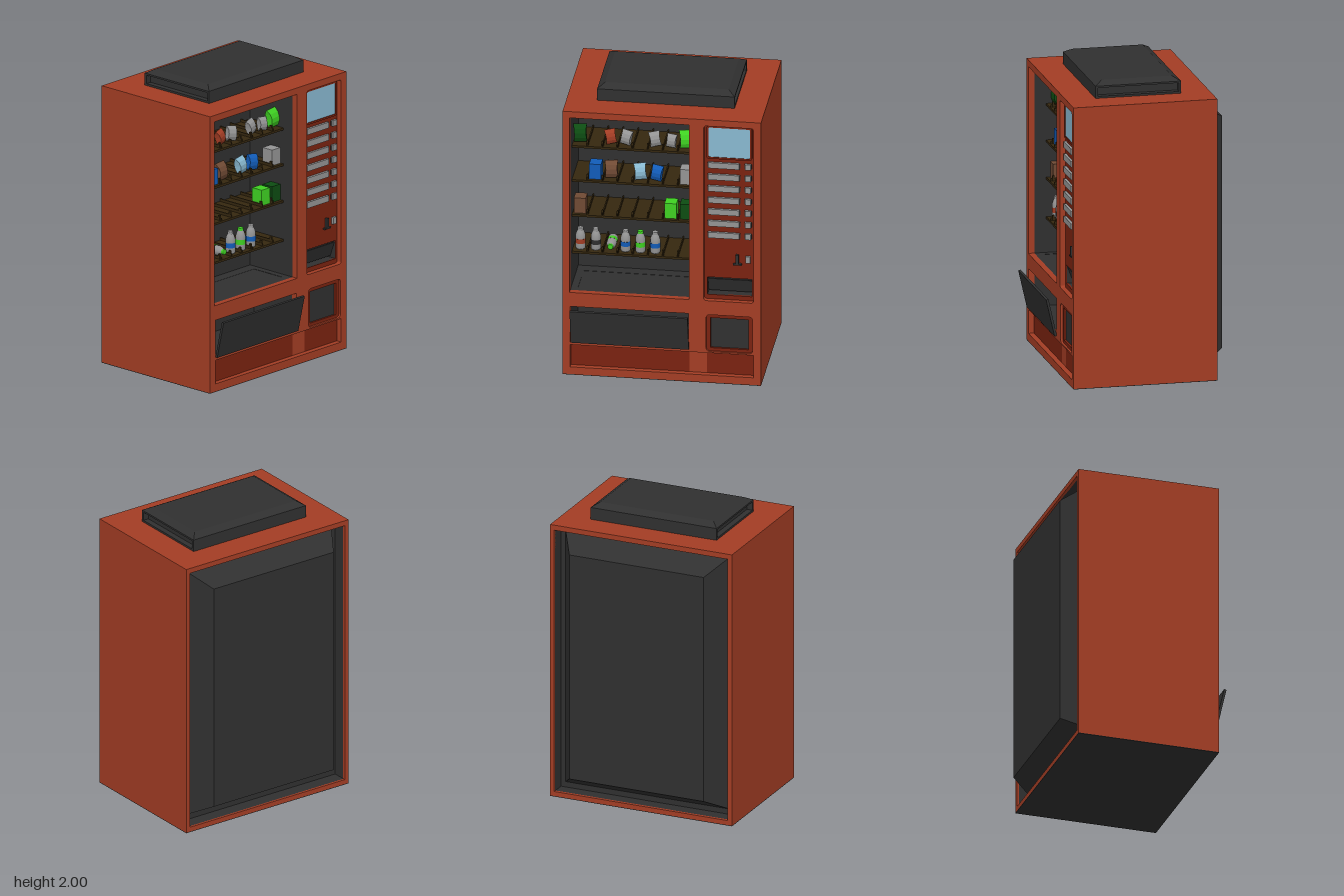
import * as THREE from 'three';

const mat = (name, color) => Object.assign(new THREE.MeshStandardMaterial({ color }), { name });
const M = {
  red: mat('cabinet red', 0xa33d24),
  darkRed: mat('panel dark red', 0x7a2210),
  dark: mat('charcoal', 0x303030),
  grey: mat('light grey', 0x949494),
  sky: mat('light blue', 0x88b8d0),
  brown: mat('brown', 0x704a34),
  shelf: mat('shelf dark brown', 0x35270f),
  green: mat('bright green', 0x3fd122),
  darkGreen: mat('dark green', 0x0d4c12),
  blue: mat('blue', 0x125cb8),
};

// The machine is built facing +z (x across, y up), then turned to face +x.
export function createModel() {
  const model = new THREE.Group();
  model.name = 'vendingMachine';
  const machine = new THREE.Group();
  machine.name = 'machine';
  machine.rotation.y = Math.PI / 2;
  model.add(machine);

  const add = (name, geo, material, parent = machine) => {
    const mesh = new THREE.Mesh(geo, material);
    mesh.name = name;
    parent.add(mesh);
    return mesh;
  };
  // Box given by its limits on each axis
  const box = (name, m, x0, x1, y0, y1, z0, z1, parent) => {
    const b = add(name, new THREE.BoxGeometry(x1 - x0, y1 - y0, z1 - z0), m, parent);
    b.position.set((x0 + x1) / 2, (y0 + y1) / 2, (z0 + z1) / 2);
    return b;
  };
  const roundRect = (x0, x1, y0, y1, r = 0, Type = THREE.Shape) => {
    const s = new Type();
    if (!r) {
      s.setFromPoints([[x0, y0], [x1, y0], [x1, y1], [x0, y1]].map((p) => new THREE.Vector2(...p)));
      return s;
    }
    s.absarc(x1 - r, y0 + r, r, -Math.PI / 2, 0);
    s.absarc(x1 - r, y1 - r, r, 0, Math.PI / 2);
    s.absarc(x0 + r, y1 - r, r, Math.PI / 2, Math.PI);
    s.absarc(x0 + r, y0 + r, r, Math.PI, Math.PI * 1.5);
    s.closePath();
    return s;
  };
  // Flat plate with holes, spanning z0..z1
  const plate = (name, m, outline, holes, z0, z1) => {
    const s = roundRect(...outline);
    s.holes = holes.map(([a, b, c, d, r = 0]) => roundRect(a, b, c, d, r, THREE.Path));
    const g = new THREE.ExtrudeGeometry(s, { depth: z1 - z0, bevelEnabled: false, curveSegments: 4 });
    return add(name, g.translate(0, 0, z0), m);
  };
  // Open cavity: walls and back; sign of zOpen - zBack sets the direction
  const niche = (name, m, x0, x1, y0, y1, zBack, zOpen, floor = true) => {
    const t = 0.008, a = Math.min(zBack, zOpen), b = Math.max(zBack, zOpen);
    box(name + 'Back', m, x0, x1, y0, y1, zBack - t / 2, zBack + t / 2);
    box(name + 'SideA', m, x0 - t, x0, y0, y1, a, b);
    box(name + 'SideB', m, x1, x1 + t, y0, y1, a, b);
    box(name + 'Ceiling', m, x0 - t, x1 + t, y1, y1 + t, a, b);
    if (floor) box(name + 'Floor', m, x0 - t, x1 + t, y0 - t, y0, a, b);
  };
  // Move vertices by a rule, with crisp facets
  const reshape = (geo, rule) => {
    const g = geo.toNonIndexed(), p = g.attributes.position, v = new THREE.Vector3();
    for (let i = 0; i < p.count; i++) {
      rule(v.fromBufferAttribute(p, i));
      p.setXYZ(i, v.x, v.y, v.z);
    }
    g.computeVertexNormals();
    return g;
  };

  // Cabinet shell
  box('underside', M.dark, -0.65, 0.65, 0, 0.004, -0.48, 0.48);
  for (const s of [-1, 1]) box('sidePanel', M.red, s < 0 ? -0.65 : 0.63, s < 0 ? -0.63 : 0.65, 0.004, 1.89, -0.46, 0.44);
  box('roof', M.red, -0.63, 0.63, 1.87, 1.89, -0.46, 0.44);
  plate('frontFrame', M.red, [-0.65, 0.65, 0.004, 1.89], [
    [-0.605, 0.18, 0.59, 1.845],
    [0.275, 0.6, 0.59, 1.845, 0.015],
    [-0.6, 0.175, 0.235, 0.49],
    [0.29, 0.595, 0.225, 0.49, 0.025],
    [-0.6, 0.6, 0.055, 0.215],
  ], 0.44, 0.48);
  plate('backFrame', M.red, [-0.65, 0.65, 0.004, 1.89], [[-0.62, 0.62, 0.035, 1.855]], -0.48, -0.46);

  // Rear recess and tapered cover
  niche('rearRecess', M.dark, -0.62, 0.62, 0.035, 1.855, -0.37, -0.465);
  add('rearCover', reshape(new THREE.BoxGeometry(1.18, 1.76, 0.18), (v) => {
    if (v.z < 0) { v.x *= 0.48 / 0.59; v.y *= 0.78 / 0.88; }
  }), M.dark).position.set(0, 0.95, -0.46);

  // Roof unit with a slot at each end
  box('roofUnitCore', M.dark, -0.41, 0.41, 1.89, 1.97, -0.27, 0.27);
  box('roofUnitBase', M.dark, -0.45, 0.45, 1.89, 1.903, -0.285, 0.285);
  box('roofUnitLid', M.dark, -0.45, 0.45, 1.96, 1.972, -0.285, 0.285);
  for (const s of [-1, 1]) box('roofUnitWall', M.dark, -0.45, 0.45, 1.903, 1.96, s * 0.2775 - 0.0075, s * 0.2775 + 0.0075);
  add('roofUnitCap', reshape(new THREE.BoxGeometry(0.9, 0.028, 0.57), (v) => {
    if (v.y > 0) { v.x *= 0.405 / 0.45; v.z *= 0.235 / 0.285; }
  }), M.dark).position.y = 1.986;

  // Display compartment with a drop opening in its floor
  niche('display', M.dark, -0.605, 0.18, 0.59, 1.845, 0.06, 0.44, false);
  const floor = plate('displayFloor', M.dark, [-0.605, 0.18, -0.44, -0.06], [[-0.56, 0.135, -0.39, -0.14]], 0, 0.01);
  floor.rotation.x = -Math.PI / 2;
  floor.position.y = 0.58;
  niche('deliveryBin', M.dark, -0.6, 0.175, 0.235, 0.58, 0.1, 0.44);
  box('binBrow', M.dark, -0.6, 0.175, 0.49, 0.58, 0.43, 0.44);

  // Delivery flap leaning outward
  const flap = new THREE.Group();
  flap.name = 'deliveryFlap';
  flap.position.set(0, 0.237, 0.485);
  flap.rotation.x = Math.atan2(0.057, 0.25);
  machine.add(flap);
  box('flapPanel', M.dark, -0.595, 0.178, 0, 0.255, -0.008, 0.008, flap);

  // Shelves with dividers
  const shelfTops = [1.59, 1.345, 1.095, 0.83];
  for (const y of shelfTops) {
    box('shelf', M.shelf, -0.605, 0.18, y - 0.015, y, 0.07, 0.36);
    for (let i = 0; i < 7; i++) {
      const x = -0.505 + i * 0.0985;
      box('shelfDivider', M.shelf, x - 0.004, x + 0.004, y, y + 0.018, 0.07, 0.355);
      box('dividerTip', M.shelf, x - 0.006, x + 0.006, y, y + 0.035, 0.33, 0.345);
    }
  }

  // Snack bags: pinched at both ends
  const bagGeo = reshape(new THREE.BoxGeometry(0.078, 0.105, 0.05, 1, 4, 1), (v) => {
    const k = Math.abs(v.y) / 0.0525;
    v.x *= k > 0.9 ? 1 : 0.84 + 0.08 * k;
    v.z *= k > 0.9 ? 0.1 : 1 - 0.4 * k;
  });
  [
    [0, -0.558, M.darkGreen, 0.06, 1.15], [0, -0.36, M.red, 0.2, 0.93], [0, -0.255, M.grey, -0.2, 0.93],
    [0, -0.07, M.grey, 0.2, 0.95], [0, 0.04, M.grey, -0.1, 0.85], [0, 0.137, M.green, 0.08, 1.15],
    [1, -0.353, M.brown, 0.06, 1.12], [1, -0.165, M.sky, 0.12, 1.05], [1, -0.055, M.blue, -0.15, 0.98],
  ].forEach(([row, x, m, tilt, size]) => {
    const b = add('snackBag', bagGeo, m);
    b.scale.setScalar(size);
    b.position.set(x, shelfTops[row] + 0.059 * size, 0.3);
    b.rotation.set(-0.2, tilt, tilt);
  });

  // Snack boxes
  [
    [1, -0.457, M.blue], [1, 0.137, M.grey], [2, -0.557, M.brown], [2, 0.037, M.green], [2, 0.137, M.darkGreen],
  ].forEach(([row, x, m]) => {
    const y = shelfTops[row];
    box('snackBox', m, x - 0.039, x + 0.039, y, y + 0.107, 0.25, 0.335);
  });

  // Bottles with a coloured label band
  const lathe = (pts) => new THREE.LatheGeometry(pts.map((p) => new THREE.Vector2(...p)), 12);
  const bottleParts = [
    lathe([[0, 0], [0.029, 0], [0.033, 0.008], [0.033, 0.04]]),
    lathe([[0.0335, 0.04], [0.0335, 0.073]]),
    lathe([[0.033, 0.073], [0.033, 0.095], [0.026, 0.118], [0.017, 0.132]]),
    lathe([[0.019, 0.132], [0.019, 0.146], [0.016, 0.15], [0, 0.15]]),
  ];
  [
    [-0.557, M.red], [-0.457, M.dark], [-0.357, M.green, true], [-0.262, M.blue], [-0.165, M.green], [-0.068, M.blue],
  ].forEach(([x, m, lying]) => {
    const bottle = new THREE.Group();
    bottle.name = 'bottle';
    bottle.position.set(x, 0.83 + (lying ? 0.035 : 0), lying ? 0.19 : 0.3);
    if (lying) bottle.rotation.x = Math.PI / 2;
    machine.add(bottle);
    const caps = m === M.green ? m : M.grey;
    [M.grey, m, M.grey, caps].forEach((pm, i) => add(['base', 'label', 'shoulder', 'cap'][i], bottleParts[i], pm, bottle));
  });

  // Control panel
  plate('controlPanel', M.darkRed, [0.27, 0.605, 0.585, 1.85], [[0.295, 0.585, 0.62, 0.745]], 0.43, 0.445);
  plate('screenBezel', M.darkRed, [0.29, 0.588, 1.6, 1.835, 0.015], [[0.302, 0.575, 1.612, 1.824, 0.01]], 0.445, 0.455);
  box('screen', M.sky, 0.3, 0.577, 1.61, 1.826, 0.443, 0.45);
  for (let i = 0; i < 7; i++) {
    const y = 1.555 - i * 0.0835;
    for (const [x0, x1] of [[0.3, 0.505], [0.542, 0.58]]) {
      box('buttonSurround', M.dark, x0 - 0.005, x1 + 0.005, y - 0.016, y + 0.016, 0.444, 0.45);
      box('button', M.grey, x0, x1, y - 0.02, y + 0.02, 0.444, 0.462);
    }
  }
  // Coin slot, return button and change tray
  box('coinSlot', M.dark, 0.482, 0.5, 0.855, 0.92, 0.444, 0.465);
  box('coinSlotFoot', M.dark, 0.465, 0.52, 0.848, 0.857, 0.444, 0.465);
  box('returnButton', M.grey, 0.545, 0.577, 0.866, 0.912, 0.444, 0.462);
  niche('changeTray', M.dark, 0.295, 0.585, 0.62, 0.745, 0.37, 0.44);
  const trayFlap = box('changeTrayFlap', M.dark, 0.297, 0.583, 0.63, 0.735, 0.41, 0.418);
  trayFlap.rotation.x = 0.35;

  // Lower service hatch
  plate('hatchBezel', M.darkRed, [0.288, 0.597, 0.222, 0.492, 0.02], [[0.317, 0.565, 0.247, 0.462]], 0.43, 0.465);
  box('hatch', M.dark, 0.31, 0.57, 0.24, 0.47, 0.43, 0.45);

  // Kick recess at the foot
  box('kickPlateWide', M.darkRed, -0.61, 0.175, 0.045, 0.225, 0.425, 0.443);
  box('kickPlateMiddle', M.red, 0.175, 0.29, 0.045, 0.225, 0.425, 0.443);
  box('kickPlateNarrow', M.darkRed, 0.29, 0.61, 0.045, 0.225, 0.425, 0.443);

  return model;
}
